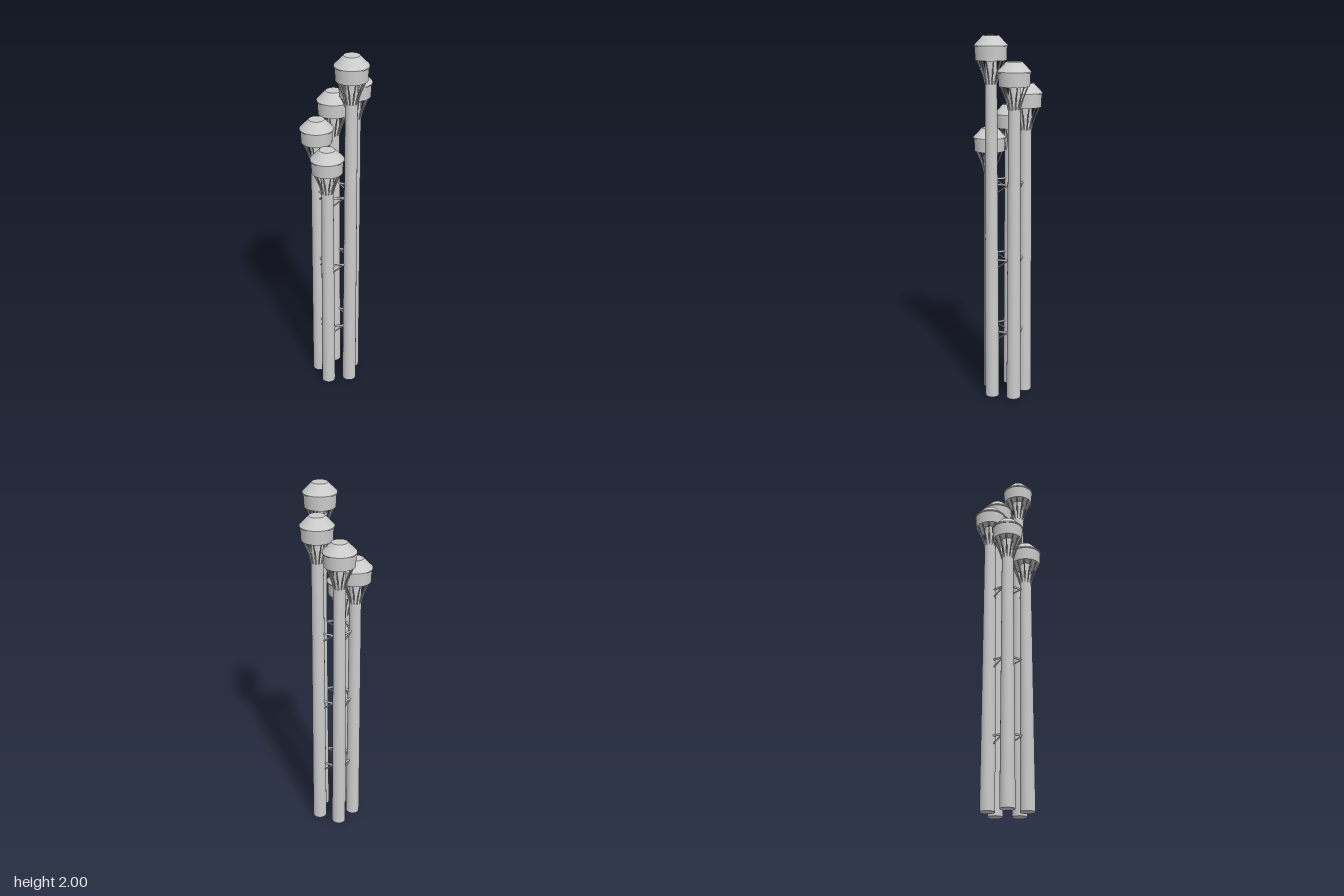
import * as THREE from 'three';

const material = new THREE.MeshStandardMaterial({ color: 0xcccccc });
const RING = 0.1045, OFFSET_X = -0.0105;
const HEIGHTS = [2, 1.87, 1.752, 1.63, 1.51];
const BASE_R = 0.039, NECK_R = 0.031, RIBS = 12;

function add(parent, name, geometry, y = 0) {
  const mesh = new THREE.Mesh(geometry, material);
  mesh.name = name;
  mesh.position.y = y;
  parent.add(mesh);
  return mesh;
}

// Straight round bar between two points
function bar(parent, name, a, b, radius) {
  const mesh = add(parent, name, new THREE.CylinderGeometry(radius, radius, a.distanceTo(b), 8));
  mesh.position.copy(a).lerp(b, 0.5);
  mesh.quaternion.setFromUnitVectors(new THREE.Vector3(0, 1, 0), b.clone().sub(a).normalize());
}

function createTower(height) {
  const tower = new THREE.Group();
  tower.name = 'tower';

  // Tapered shaft running up into the head
  const shaftHeight = height - 0.1;
  add(tower, 'shaft', new THREE.CylinderGeometry(NECK_R, BASE_R, shaftHeight, 32), shaftHeight / 2);

  // Drum, thin overhanging rim and truncated cone roof
  add(tower, 'drum', new THREE.CylinderGeometry(0.084, 0.081, 0.072, 48), height - 0.089);
  add(tower, 'rim', new THREE.CylinderGeometry(0.0885, 0.0885, 0.006, 48), height - 0.053);
  add(tower, 'roof', new THREE.CylinderGeometry(0.041, 0.0885, 0.05, 48), height - 0.025);

  // Curved ribs flaring from the shaft to the drum
  const curve = new THREE.CatmullRomCurve3([
    [0.031, -0.245], [0.041, -0.205], [0.056, -0.165], [0.074, -0.122],
  ].map(([r, y]) => new THREE.Vector3(r, y, 0)));
  const ribGeometry = new THREE.TubeGeometry(curve, 10, 0.0035, 6);
  for (let i = 0; i < RIBS; i++) {
    add(tower, 'rib', ribGeometry, height).rotation.y = (i / RIBS) * Math.PI * 2;
  }
  return tower;
}

export function createModel() {
  const model = new THREE.Group();
  model.name = 'towerCluster';

  // Five towers on a ring, stepping down in height
  const centres = HEIGHTS.map((height, i) => {
    const angle = (i / HEIGHTS.length) * Math.PI * 2;
    const centre = new THREE.Vector3(OFFSET_X + RING * Math.cos(angle), 0, -RING * Math.sin(angle));
    const tower = createTower(height);
    tower.position.copy(centre);
    model.add(tower);
    return centre;
  });

  // Beam and diagonal brace between neighbours at three levels
  for (const level of [0.385, 0.805, 1.225]) {
    const bracing = new THREE.Group();
    bracing.name = 'bracing';
    model.add(bracing);
    centres.forEach((centre, i) => {
      const next = centres[(i + 1) % centres.length];
      const a = centre.clone().lerp(next, 0.25).setY(level);
      const b = centre.clone().lerp(next, 0.75).setY(level);
      bar(bracing, 'beam', a, b, 0.006);
      bar(bracing, 'diagonalBrace', a.clone().setY(level - 0.045), b, 0.004);
    });
  }
  return model;
}
